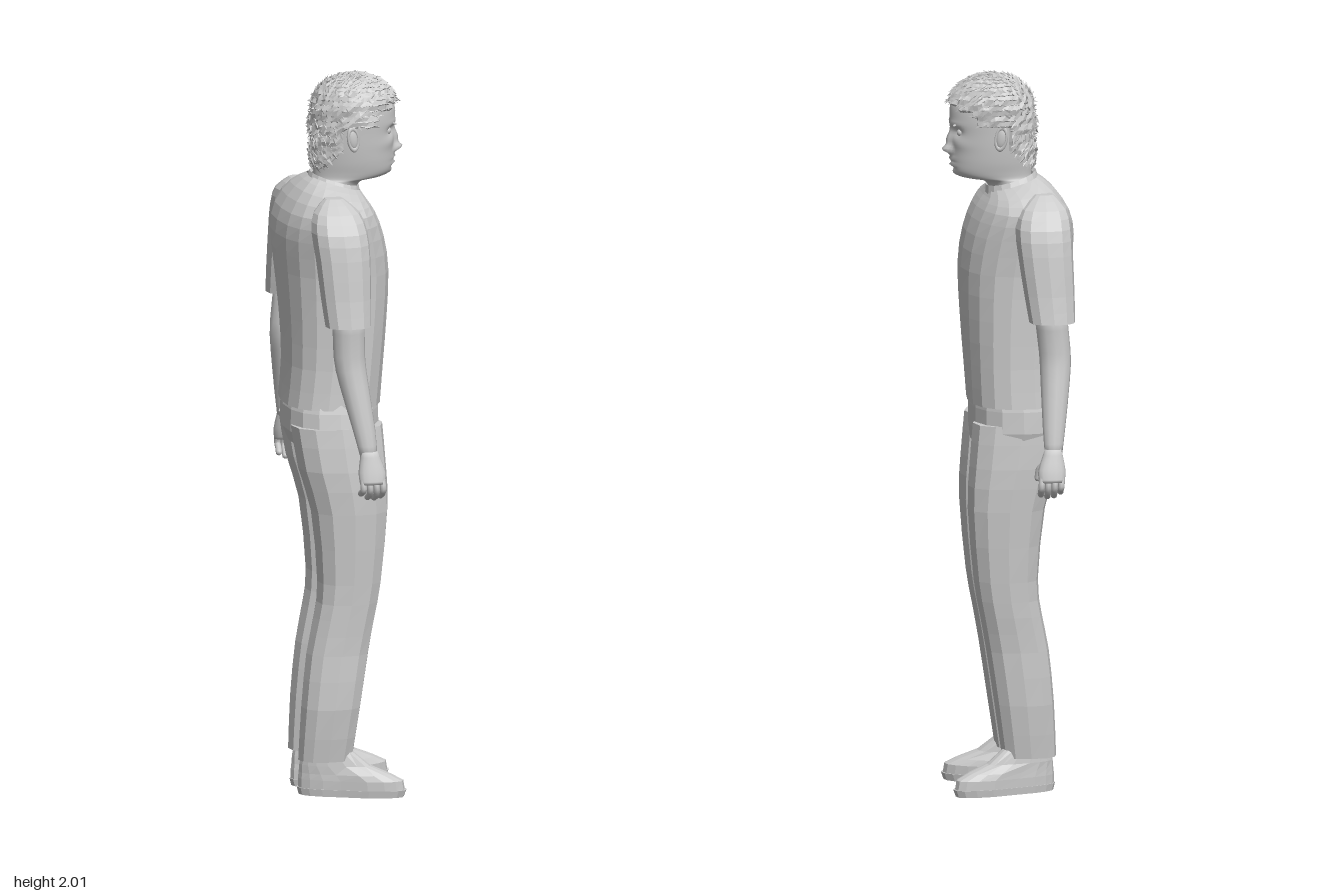
import * as THREE from 'three';
import { mergeGeometries } from 'three/addons/utils/BufferGeometryUtils.js';

const flat = new THREE.MeshStandardMaterial({ color: 0xcccccc, flatShading: true, side: THREE.DoubleSide });
const smooth = new THREE.MeshStandardMaterial({ color: 0xcccccc });

let seed = 7;
const rand = () => (seed = (seed * 16807) % 2147483647) / 2147483647;

const catmull = (a, b, c, d, t) =>
  0.5 * (2 * b + (c - a) * t + (2 * a - 5 * b + 4 * c - d) * t * t + (3 * b - a - 3 * c + d) * t * t * t);

// Adds in-between rows to a list of cross-sections
function refine(rows, k) {
  const out = [];
  const at = (i, m) => rows[Math.max(0, Math.min(rows.length - 1, i))][m] ?? 0;
  for (let i = 0; i < rows.length - 1; i++)
    for (let j = 0; j < k; j++)
      out.push([0, 1, 2, 3, 4, 5].map(m => catmull(at(i - 1, m), at(i, m), at(i + 1, m), at(i + 2, m), j / k)));
  out.push(rows[rows.length - 1]);
  return out;
}

// Loft through horizontal sections, bottom to top: [y, back x, front x, low z, high z, forward tilt]
function loft(rows, { n = 12, e = 2, map = null, bottom = true, top = true } = {}) {
  const pos = [], idx = [];
  const add = v => { if (map) map(v); pos.push(v.x, v.y, v.z); };
  const pw = c => Math.sign(c) * Math.abs(c) ** (2 / e);
  for (const [y, b, f, z0, z1, tilt = 0] of rows)
    for (let i = 0; i < n; i++) {
      const a = (i / n) * Math.PI * 2, dx = (f - b) / 2 * pw(Math.cos(a));
      add(new THREE.Vector3((b + f) / 2 + dx, y - tilt * dx, (z0 + z1) / 2 + (z1 - z0) / 2 * pw(Math.sin(a))));
    }
  for (let j = 0; j < rows.length - 1; j++)
    for (let i = 0; i < n; i++) {
      const p = j * n + i, q = j * n + (i + 1) % n;
      idx.push(p, p + n, q, p + n, q + n, q);
    }
  const cap = (j, isTop) => {
    const [y, b, f, z0, z1] = rows[j], c = pos.length / 3;
    add(new THREE.Vector3((b + f) / 2, y, (z0 + z1) / 2));
    for (let i = 0; i < n; i++) {
      const p = j * n + i, q = j * n + (i + 1) % n;
      idx.push(c, isTop ? q : p, isTop ? p : q);
    }
  };
  if (bottom) cap(0, false);
  if (top) cap(rows.length - 1, true);
  const g = new THREE.BufferGeometry();
  g.setAttribute('position', new THREE.Float32BufferAttribute(pos, 3));
  g.setIndex(idx);
  g.computeVertexNormals();
  return g;
}

export function createModel() {
  const man = new THREE.Group();
  man.name = 'standingMan';
  const put = (name, geo, mat = flat) => {
    const m = new THREE.Mesh(geo, mat);
    m.name = name;
    man.add(m);
  };

  // Shirt, turned slightly about the spine
  const twist = v => { v.x += 0.09 * v.z * Math.min(1, Math.max(0, (v.y - 1.1) / 0.4)); };
  put('shirt', loft(refine([
    [1.09, -0.165, 0.105, -0.18, 0.18], [1.2, -0.155, 0.112, -0.175, 0.177],
    [1.33, -0.16, 0.12, -0.175, 0.178], [1.46, -0.172, 0.123, -0.178, 0.182],
    [1.56, -0.18, 0.107, -0.19, 0.195], [1.63, -0.165, 0.08, -0.195, 0.2],
    [1.675, -0.125, 0.06, -0.155, 0.16, 0.15], [1.7, -0.085, 0.05, -0.09, 0.09, 0.3],
  ], 2), { n: 18, e: 2.5, map: twist, bottom: false, top: false }));
  put('collar', loft([
    [1.685, -0.092, 0.056, -0.098, 0.098, 0.3], [1.71, -0.084, 0.053, -0.082, 0.082, 0.3],
    [1.705, -0.076, 0.046, -0.074, 0.074, 0.3],
  ], { n: 18, bottom: false, top: false }));

  // Trousers
  put('trouserSeat', loft([
    [0.98, -0.145, 0.095, -0.165, 0.19], [1.02, -0.162, 0.1, -0.176, 0.196],
    [1.08, -0.16, 0.1, -0.174, 0.185], [1.13, -0.145, 0.095, -0.165, 0.17],
  ], { n: 16, e: 2.4 }));
  const legs = {
    right: [
      [0.1, -0.135, 0.015, 0.05, 0.163], [0.25, -0.128, 0.037, 0.045, 0.184],
      [0.4, -0.113, 0.06, 0.04, 0.182], [0.5, -0.093, 0.078, 0.033, 0.185],
      [0.6, -0.082, 0.096, 0.024, 0.19], [0.8, -0.1, 0.114, 0.012, 0.204],
      [0.92, -0.135, 0.11, 0.006, 0.206], [1.04, -0.155, 0.1, 0.01, 0.195]],
    left: [
      [0.1, -0.135, 0.015, -0.106, 0.01], [0.25, -0.128, 0.037, -0.125, 0.015],
      [0.4, -0.113, 0.06, -0.132, 0.016], [0.5, -0.093, 0.078, -0.142, 0.015],
      [0.6, -0.082, 0.096, -0.15, 0.011], [0.8, -0.1, 0.114, -0.167, 0.002],
      [0.92, -0.135, 0.11, -0.173, 0.002], [1.04, -0.155, 0.1, -0.17, 0]],
  };
  for (const side in legs) put(side + 'TrouserLeg', loft(refine(legs[side], 2), { n: 12, e: 2.5 }));

  // Shoes, toes turned outward
  for (const [side, zc, s] of [['right', 0.105, 1], ['left', -0.046, -1]]) {
    const map = v => { v.z = zc + v.z * (v.x > 0.02 ? 1.1 : 0.92) + s * 0.28 * (v.x + 0.06); };
    put(side + 'Sole', loft([
      [0, -0.13, 0.15, -0.046, 0.046], [0.02, -0.135, 0.157, -0.049, 0.049],
    ], { n: 18, e: 2.6, map }));
    put(side + 'Shoe', loft([
      [0.02, -0.132, 0.152, -0.047, 0.047], [0.045, -0.132, 0.148, -0.048, 0.048],
      [0.062, -0.13, 0.115, -0.046, 0.046], [0.085, -0.128, 0.06, -0.044, 0.044],
      [0.125, -0.12, 0.012, -0.04, 0.04],
    ], { n: 18, e: 2.5, map }));
  }

  // Arms: the left one hangs further back
  for (const [side, s] of [['right', 1], ['left', -1]]) {
    const back = y => s > 0 ? 0 : 0.045 + 0.08 * Math.min(1, Math.max(0, (1.6 - y) / 0.6));
    const inset = y => s > 0 ? 0 : 0.015 * Math.min(1, Math.max(0, (y - 0.95) / 0.3));
    const place = rows => rows.map(([y, b, f, z0, z1]) => {
      const d = back(y), o = inset(y);
      return [y, b - d, f - d, s > 0 ? z0 : o - z1, s > 0 ? z1 : o - z0];
    });
    put(side + 'Sleeve', loft(refine(place([
      [1.345, -0.085, 0.042, 0.195, 0.308], [1.42, -0.095, 0.044, 0.18, 0.298],
      [1.53, -0.107, 0.045, 0.16, 0.288], [1.6, -0.115, 0.04, 0.13, 0.274],
      [1.65, -0.105, 0.022, 0.12, 0.237], [1.685, -0.07, -0.02, 0.135, 0.18],
    ]), 2), { n: 12, e: 2.4, bottom: false }));
    put(side + 'Arm', loft(refine(place([
      [0.985, 0.004, 0.052, 0.276, 0.314], [1.06, -0.015, 0.048, 0.258, 0.307],
      [1.18, -0.047, 0.034, 0.222, 0.292], [1.26, -0.062, 0.026, 0.21, 0.284],
      [1.38, -0.065, 0.025, 0.21, 0.29],
    ]), 2), { n: 12 }), smooth);

    // Hand with curled fingers
    put(side + 'Palm', loft(refine(place([
      [0.912, 0.0, 0.07, 0.3, 0.333], [0.945, -0.003, 0.072, 0.288, 0.327], [1.0, 0.006, 0.052, 0.278, 0.314],
    ]), 3), { n: 14, e: 2.3 }), smooth);
    const finger = (name, pts, r) => {
      const path = pts.map(([x, y, z]) => new THREE.Vector3(x - back(0.95), y, s * z));
      const tip = new THREE.SphereGeometry(r, 8, 6).translate(...path[path.length - 1].toArray());
      const tube = new THREE.TubeGeometry(new THREE.CatmullRomCurve3(path), 8, r, 8);
      put(name, mergeGeometries([tube, tip]), smooth);
    };
    for (let i = 0; i < 4; i++) {
      const x = 0.008 + i * 0.018, drop = [0.012, 0.002, 0, 0.005][i];
      finger(`${side}Finger${i + 1}`, [
        [x, 0.925, 0.316], [x + 0.002, 0.897, 0.32], [x + 0.002, 0.878 + drop, 0.306], [x, 0.868 + drop, 0.286]], 0.009);
    }
    finger(side + 'Thumb', [[0.045, 0.965, 0.294], [0.064, 0.943, 0.277], [0.068, 0.917, 0.272]], 0.01);
  }

  // Head: skull and neck with the face raised by soft bumps [y, |z|, height, y spread, z spread]
  const bumps = [
    [1.79, 0, 0.022, 0.011, 0.012], [1.815, 0, 0.014, 0.024, 0.009], [1.786, 0.012, 0.009, 0.008, 0.007],
    [1.843, 0.033, -0.013, 0.014, 0.018], [1.864, 0.03, 0.004, 0.008, 0.025],
    [1.764, 0, 0.008, 0.006, 0.02], [1.757, 0, -0.006, 0.003, 0.024], [1.749, 0, 0.008, 0.006, 0.018],
    [1.738, 0, -0.005, 0.006, 0.02], [1.722, 0, 0.005, 0.011, 0.02], [1.81, 0.05, 0.004, 0.016, 0.02],
  ];
  const face = v => {
    if (v.x < 0.06) return;
    let d = 0;
    for (const [y, z, h, sy, sz] of bumps)
      d += h * Math.exp(-(((v.y - y) / sy) ** 2) - ((Math.abs(v.z) - z) / sz) ** 2);
    v.x += d;
  };
  const skull = refine([
    [1.63, -0.085, 0.04, -0.075, 0.075], [1.68, -0.075, 0.045, -0.063, 0.063],
    [1.704, -0.073, 0.065, -0.062, 0.062], [1.714, -0.073, 0.12, -0.063, 0.063],
    [1.73, -0.073, 0.143, -0.067, 0.067], [1.76, -0.074, 0.148, -0.074, 0.074],
    [1.8, -0.076, 0.149, -0.08, 0.08], [1.84, -0.077, 0.151, -0.084, 0.084],
    [1.88, -0.076, 0.154, -0.087, 0.087], [1.92, -0.07, 0.15, -0.085, 0.085],
    [1.955, -0.053, 0.13, -0.071, 0.071], [1.98, -0.02, 0.095, -0.045, 0.045], [1.987, 0.02, 0.055, -0.015, 0.015],
  ], 6);
  put('head', loft(skull, { n: 80, map: face }), smooth);
  for (const [side, s] of [['right', 1], ['left', -1]]) {
    put(side + 'Eye', new THREE.SphereGeometry(0.011, 16, 12).translate(0.127, 1.842, s * 0.033), smooth);
    put(side + 'Eyebrow', new THREE.SphereGeometry(1, 12, 8).scale(0.005, 0.003, 0.018).rotateY(s * 0.35)
      .translate(0.143, 1.863, s * 0.035), smooth);
    const ear = mergeGeometries([
      new THREE.TorusGeometry(0.02, 0.005, 8, 18).scale(0.75, 1.5, 1),
      new THREE.SphereGeometry(0.018, 12, 8).scale(0.75, 1.5, 0.35)]);
    put(side + 'Ear', ear.rotateZ(0.15).rotateY(s * 0.3).translate(0.022, 1.832, s * 0.088), smooth);
  }

  // Hair: a rough cap above the hairline, covered in short tufts
  const hairline = x => {
    if (x > 0.085) return 1.885 + (x - 0.085) * 0.45;
    if (x > 0) return 1.862;
    return 1.745 + Math.max(0, x + 0.045) * 1.4;
  };
  const centre = new THREE.Vector3(0.038, 1.87, 0);
  const roots = [];
  const hairRows = skull.filter((r, i) => r[0] > 1.74 && i % 2 === 0);
  put('hairCap', loft(hairRows, {
    n: 48, bottom: false, map: v => {
      const dir = v.clone().sub(centre).normalize();
      if (v.y > hairline(v.x)) {
        v.addScaledVector(dir, 0.004 + rand() * 0.008);
        roots.push([v.clone(), dir]);
      } else v.addScaledVector(dir, -0.012);
    },
  }));
  const tufts = [], up = new THREE.Vector3(0, 1, 0);
  for (const [p, dir] of roots) {
    const lean = new THREE.Vector3(0.5 + rand(), (rand() - 0.7) * 1.2, (rand() - 0.5) * 1.6);
    const aim = dir.clone().multiplyScalar(0.45).add(lean.projectOnPlane(dir)).normalize();
    const tuft = new THREE.ConeGeometry(0.0055, 0.018 + rand() * 0.008, 3, 1, true);
    tuft.applyQuaternion(new THREE.Quaternion().setFromUnitVectors(up, aim)).translate(p.x, p.y, p.z);
    tufts.push(tuft);
  }
  put('hairTufts', mergeGeometries(tufts));

  return man;
}
